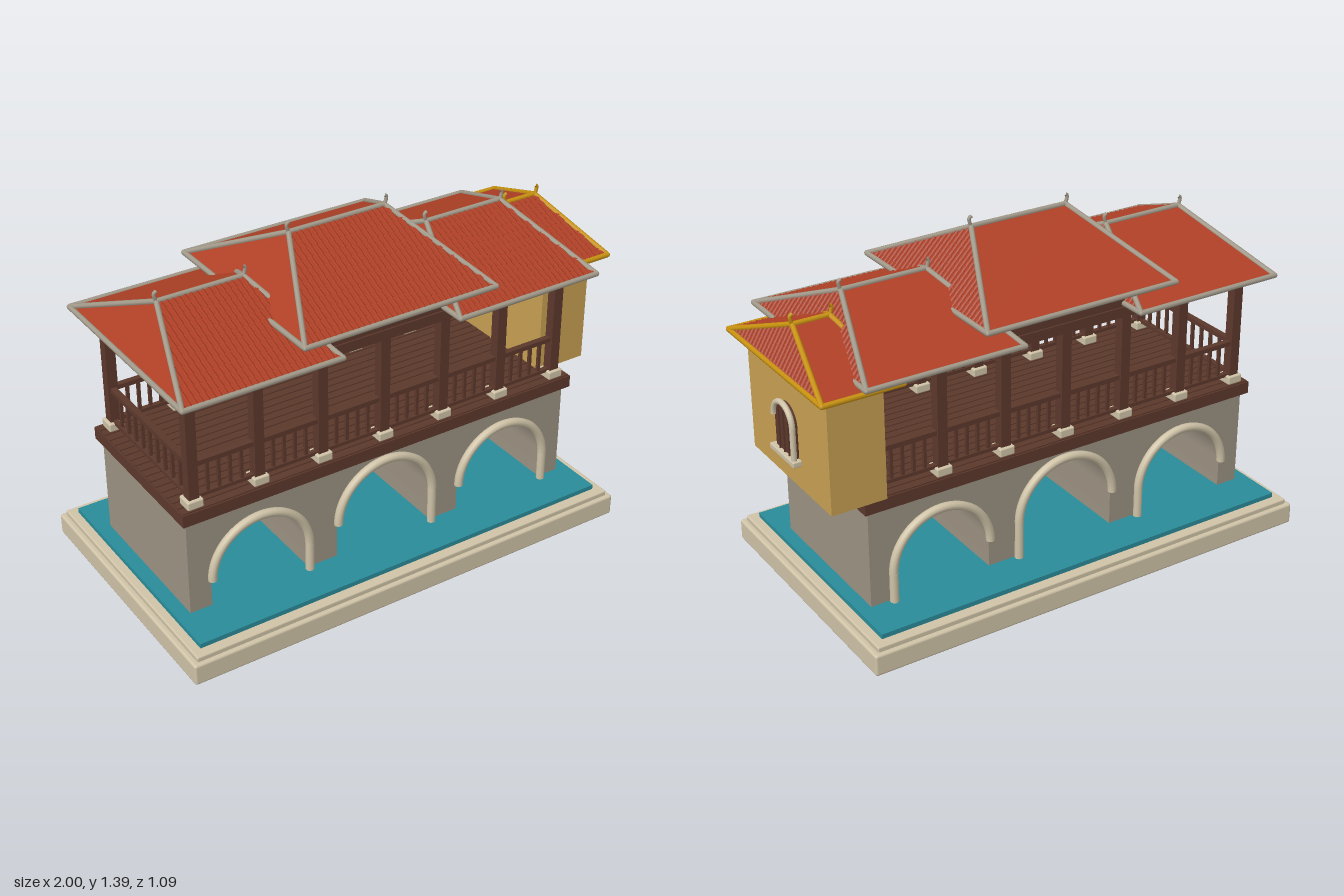
import * as THREE from 'three';
import { mergeGeometries, toCreasedNormals } from 'three/addons/utils/BufferGeometryUtils.js';
import { RoundedBoxGeometry } from 'three/addons/geometries/RoundedBoxGeometry.js';

const mat = (name, color, side = THREE.FrontSide) => {
  const m = new THREE.MeshStandardMaterial({ color, side });
  m.name = name;
  return m;
};
const V = (x, y, z) => new THREE.Vector3(x, y, z);
const UP = V(0, 1, 0);

// Box given by its extents
const box = (x0, x1, y0, y1, z0, z1) =>
  new THREE.BoxGeometry(x1 - x0, y1 - y0, z1 - z0).translate((x0 + x1) / 2, (y0 + y1) / 2, (z0 + z1) / 2);
const rounded = (x0, x1, y0, y1, z0, z1, r) =>
  new RoundedBoxGeometry(x1 - x0, y1 - y0, z1 - z0, 2, r).translate((x0 + x1) / 2, (y0 + y1) / 2, (z0 + z1) / 2);

// Round bar from a to b, optionally tapered
function rod(a, b, r0, r1 = r0, sides = 8, open = false) {
  const d = b.clone().sub(a);
  const g = new THREE.CylinderGeometry(r1, r0, d.length(), sides, 1, open);
  g.applyQuaternion(new THREE.Quaternion().setFromUnitVectors(UP, d.normalize()));
  return g.translate((a.x + b.x) / 2, (a.y + b.y) / 2, (a.z + b.z) / 2);
}

// Arch moulding: half ring with one straight leg on the +x side
const archTrim = (r, tube, leg) => mergeGeometries([
  new THREE.TorusGeometry(r, tube, 10, 32, Math.PI),
  rod(V(r, -leg, 0), V(r, 0, 0), tube, tube, 10),
]);

export function createModel() {
  const group = new THREE.Group();
  const stone = mat('pale stone', 0xd0c4a8);
  const wallStone = mat('grey wall stone', 0x9c9282);
  const wood = mat('dark wood', 0x5c382c);
  const water = mat('water', 0x2a8c9a);
  const tile = mat('red roof tile', 0xb04026, THREE.DoubleSide);
  const ridgeGrey = mat('grey ridge mortar', 0xa29a8a);
  const ochre = mat('ochre plaster', 0xc8a052);
  const gold = mat('golden trim', 0xc8920f);
  const add = (name, geo, m) => {
    const mesh = new THREE.Mesh(Array.isArray(geo) ? mergeGeometries(geo) : geo, m);
    mesh.name = name;
    group.add(mesh);
    return mesh;
  };
  const CX = -0.05;

  // Plinth and pool
  add('plinth', rounded(-1, 0.9, 0, 0.087, -0.547, 0.547, 0.01), stone);
  add('plinthRim', rounded(-0.98, 0.88, 0.08, 0.107, -0.53, 0.53, 0.006), stone);
  add('pool', box(-0.945, 0.842, 0.1, 0.126, -0.49, 0.49), water);

  // Bridge body with three tunnels
  const arches = [[-0.595, 0.245, 0.205], [CX, 0.277, 0.213], [0.495, 0.245, 0.205]];
  const s = new THREE.Shape();
  s.moveTo(-0.89, 0.53);
  s.lineTo(-0.89, 0.126);
  for (const [x, y, r] of arches) {
    s.lineTo(x - r, 0.126);
    s.lineTo(x - r, y);
    s.absarc(x, y, r, Math.PI, 0, true);
    s.lineTo(x + r, 0.126);
  }
  s.lineTo(0.79, 0.126);
  s.lineTo(0.79, 0.53);
  const body = new THREE.ExtrudeGeometry(s, { depth: 0.64, bevelEnabled: false, curveSegments: 28 });
  add('bridgeBody', toCreasedNormals(body.translate(0, 0, -0.32), 0.6), wallStone);
  for (const z of [0.332, -0.332])
    for (const [x, y, r] of arches)
      add('archTrim', archTrim(r, 0.017, y - 0.126), stone).position.set(x, y, z);

  // Deck and floorboards
  add('deck', box(-0.91, 0.81, 0.523, 0.572, -0.343, 0.343), wood);
  const boards = [];
  for (let i = 0; i < 17; i++) {
    const z = -0.34 + i * 0.04;
    boards.push(box(-0.905, 0.805, 0.57, 0.577, z + 0.003, z + 0.037));
  }
  add('floorboards', boards, wood);

  // Columns, footings, beams
  const colX = [-0.85, -0.583, -0.317, CX, 0.213, 0.478, 0.745];
  const columns = [], footings = [], beams = [], rails = [];
  for (const z of [0.3, -0.3]) {
    for (const x of colX) {
      columns.push(box(x - 0.02, x + 0.02, 0.6, 1.01, z - 0.02, z + 0.02));
      footings.push(rounded(x - 0.032, x + 0.032, 0.575, 0.61, z - 0.032, z + 0.032, 0.006));
    }
    beams.push(box(-0.885, 0.785, 1.0, 1.04, z - 0.027, z + 0.027));
    beams.push(box(-0.35, 0.25, 1.04, 1.125, z - 0.02, z + 0.02));
    // Railing bays between columns
    for (let i = 0; i < 6; i++) {
      const a = colX[i] + 0.02, b = colX[i + 1] - 0.02;
      rails.push(box(a, b, 0.737, 0.755, z - 0.012, z + 0.012), box(a, b, 0.603, 0.617, z - 0.01, z + 0.01));
      for (let k = 1; k < 5; k++) {
        const x = a + (b - a) * k / 5;
        rails.push(box(x - 0.006, x + 0.006, 0.61, 0.74, z - 0.006, z + 0.006));
      }
    }
  }
  for (const x of [-0.85, 0.745]) beams.push(box(x - 0.02, x + 0.02, 1.0, 1.04, -0.3, 0.3));
  for (const x of [-0.33, 0.23]) beams.push(box(x - 0.02, x + 0.02, 1.04, 1.125, -0.3, 0.3));
  // End railing
  rails.push(box(-0.862, -0.838, 0.737, 0.755, -0.28, 0.28), box(-0.86, -0.84, 0.603, 0.617, -0.28, 0.28));
  for (let k = 1; k < 11; k++) {
    const z = -0.28 + 0.056 * k;
    rails.push(box(-0.856, -0.844, 0.61, 0.74, z - 0.006, z + 0.006));
  }
  add('columns', columns, wood);
  add('columnFootings', footings, stone);
  add('beams', beams, wood);
  add('railings', rails, wood);

  // Rows of overlapping tapered tiles on the slope above eave a-b, topped by edge c-d
  function tiles(a, b, c, d) {
    const out = [], edge = b.clone().sub(a), len = edge.length(), dir = edge.clone().normalize();
    const uc = c.clone().sub(a).dot(dir), ud = d.clone().sub(a).dot(dir);
    const rise = c.clone().sub(a).addScaledVector(dir, -uc);
    const n = Math.round(len / 0.023), rows = 11;
    for (let i = 0; i < n; i++) {
      const u = (i + 0.5) * len / n;
      const top = Math.min(1, u / uc, (len - u) / (len - ud));
      const at = t => a.clone().addScaledVector(dir, u).addScaledVector(rise, t);
      for (let k = 0; k / rows < top - 0.01; k++)
        out.push(rod(at(k / rows), at(Math.min(top, (k + 1) / rows)), 0.0085, 0.005, 6, true));
    }
    return out;
  }

  // Hipped roof: eave rectangle at y0, ridge from r0 to r1 at y1
  function hipRoof(name, x0, x1, z0, z1, y0, y1, r0, r1, trim) {
    const zc = (z0 + z1) / 2;
    const A = V(x0, y0, z1), B = V(x1, y0, z1), C = V(x1, y0, z0), D = V(x0, y0, z0);
    const L = V(r0, y1, zc), R = V(r1, y1, zc);
    const tris = [A, B, R, A, R, L, B, C, R, C, D, L, C, L, R, D, A, L];
    const sheet = new THREE.BufferGeometry().setFromPoints(tris);
    sheet.computeVertexNormals();
    add(name + 'Slopes', sheet, tile);
    add(name + 'Tiles', [...tiles(A, B, L, R), ...tiles(B, C, R, R)], tile);
    const bars = [[A, B], [B, C], [C, D], [D, A], [A, L], [D, L], [B, R], [C, R], [L, R]]
      .map(([p, q]) => rod(p, q, 0.0105));
    for (const p of [A, B, C, D, L, R]) bars.push(new THREE.SphereGeometry(0.0105, 8, 6).translate(p.x, p.y, p.z));
    // Curled finials at the ridge ends
    for (const [p, k] of [[L, -1], [R, 1]]) {
      const curve = new THREE.CatmullRomCurve3([
        p, V(p.x + k * 0.006, y1 + 0.015, zc), V(p.x + k * 0.008, y1 + 0.032, zc), V(p.x - k * 0.002, y1 + 0.039, zc)]);
      bars.push(new THREE.TubeGeometry(curve, 8, 0.007, 8));
    }
    add(name + 'Trim', bars, trim);
  }
  hipRoof('centreRoof', -0.455, 0.355, -0.425, 0.425, 1.14, 1.347, -0.255, 0.155, ridgeGrey);
  hipRoof('leftRoof', 0.2, 0.83, -0.425, 0.425, 1.053, 1.228, 0.345, 0.69, ridgeGrey);
  hipRoof('rightRoof', -0.93, -0.3, -0.425, 0.425, 1.053, 1.228, -0.79, -0.445, ridgeGrey);
  hipRoof('shrineRoof', 0.68, 0.989, -0.412, 0.302, 1.035, 1.172, 0.765, 0.908, gold);

  // Plastered shrine on the end
  add('shrine', box(0.727, 0.945, 0.573, 0.995, -0.353, 0.247), ochre);

  // Arched window facing +x, built facing +z and turned
  const win = new THREE.Group();
  win.name = 'shrineWindow';
  const ws = new THREE.Shape();
  ws.moveTo(-0.07, -0.13);
  ws.lineTo(0.07, -0.13);
  ws.lineTo(0.07, 0);
  ws.absarc(0, 0, 0.07, 0, Math.PI, false);
  const parts = [
    ['shutters', new THREE.ExtrudeGeometry(ws, { depth: 0.018, bevelEnabled: false, curveSegments: 20 }), wood],
    ['shutterBars', mergeGeometries([-0.035, 0, 0.035].map(x => box(x - 0.003, x + 0.003, -0.13, 0.055, 0.015, 0.024))), wood],
    ['windowFrame', archTrim(0.072, 0.011, 0.13).translate(0, 0, 0.022), stone],
    ['windowSill', rounded(-0.092, 0.092, -0.144, -0.122, 0, 0.036, 0.004), stone],
  ];
  for (const [name, geo, m] of parts) {
    const mesh = new THREE.Mesh(geo, m);
    mesh.name = name;
    win.add(mesh);
  }
  win.rotation.y = Math.PI / 2;
  win.position.set(0.944, 0.815, -0.054);
  group.add(win);

  return group;
}
